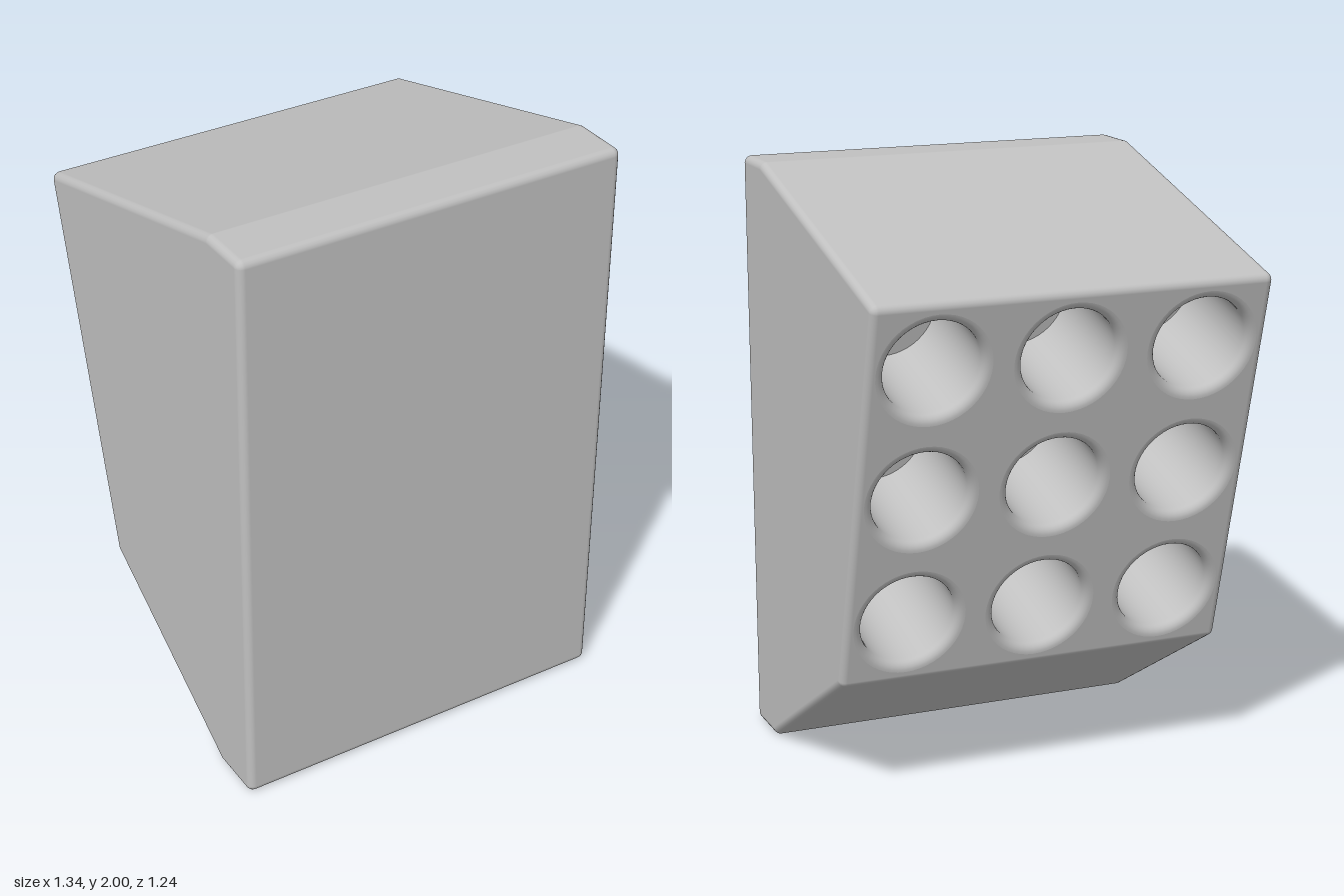
import * as THREE from 'three';

const HALF_WIDTH = 0.67, BEVEL = 0.025, STEPS = 5;
const HOLE_R = 0.19, HOLE_LIP = 0.03, HOLE_DEPTH = 0.42, HOLE_PITCH = 0.45;

// Side profile as (z, y); the edge from corner 2 to corner 3 carries the sockets
const PROFILE = [[0.62, 0], [0.43, 0], [-0.28, 0.42], [-0.626, 1.715], [0.43, 2], [0.62, 2]]
  .map(([z, y]) => new THREE.Vector2(z, y));
const SOCKET_EDGE = 2;

const edgeNormals = PROFILE.map((p, i) => {
  const d = PROFILE[(i + 1) % PROFILE.length].clone().sub(p).normalize();
  return new THREE.Vector2(-d.y, d.x);
});

// Arc centre of each rounded corner
const centres = PROFILE.map((p, i) => {
  const a = edgeNormals[(i + PROFILE.length - 1) % PROFILE.length], b = edgeNormals[i];
  return p.clone().addScaledVector(a.clone().add(b), -BEVEL / (1 + a.dot(b)));
});

// Rounded prism, left open where the socket panel sits
function bodyGeometry() {
  const ring = [];
  centres.forEach((c, i) => {
    const a = edgeNormals[(i + PROFILE.length - 1) % PROFILE.length], b = edgeNormals[i];
    for (let s = 0; s <= STEPS; s++) ring.push({ c, n: a.clone().lerp(b, s / STEPS).normalize() });
  });
  const columns = [];
  for (const side of [-1, 1]) {
    for (let s = 0; s <= STEPS; s++) {
      const angle = (s / STEPS) * Math.PI / 2 - (side < 0 ? Math.PI / 2 : 0);
      columns.push({ x: side * (HALF_WIDTH - BEVEL), angle });
    }
  }

  const pos = [], nor = [], idx = [];
  const count = ring.length;
  for (const { x, angle } of columns) {
    const cos = Math.cos(angle), sin = Math.sin(angle);
    for (const { c, n } of ring) {
      pos.push(x + BEVEL * sin, c.y + BEVEL * cos * n.y, c.x + BEVEL * cos * n.x);
      nor.push(sin, cos * n.y, cos * n.x);
    }
  }
  const openJ = SOCKET_EDGE * (STEPS + 1) + STEPS;
  for (let k = 0; k < columns.length - 1; k++) {
    for (let j = 0; j < count; j++) {
      if (k === STEPS && j === openJ) continue;
      const a = k * count + j, b = k * count + (j + 1) % count;
      idx.push(a, b, b + count, a, b + count, a + count);
    }
  }
  // Flat side caps
  const last = (columns.length - 1) * count;
  for (let j = 1; j < count - 1; j++) {
    idx.push(last, last + j, last + j + 1, 0, j + 1, j);
  }
  const g = new THREE.BufferGeometry();
  g.setAttribute('position', new THREE.Float32BufferAttribute(pos, 3));
  g.setAttribute('normal', new THREE.Float32BufferAttribute(nor, 3));
  g.setIndex(idx);
  return g;
}

export function createModel() {
  const model = new THREE.Group();
  model.name = 'socketBlock';
  const grey = new THREE.MeshStandardMaterial({ color: 0xc0c0c0 });
  grey.name = 'lightGrey';

  const add = (parent, name, geometry) => {
    const mesh = new THREE.Mesh(geometry, grey);
    mesh.name = name;
    parent.add(mesh);
    return mesh;
  };

  add(model, 'body', bodyGeometry());

  // Tilted back panel, local +z pointing out of the block
  const c0 = centres[SOCKET_EDGE], c1 = centres[SOCKET_EDGE + 1], n = edgeNormals[SOCKET_EDGE];
  const mid = c0.clone().add(c1).multiplyScalar(0.5).addScaledVector(n, BEVEL);
  const panel = new THREE.Group();
  panel.name = 'socketPanel';
  panel.position.set(0, mid.y, mid.x);
  panel.rotation.x = Math.atan2(-n.y, n.x);
  model.add(panel);

  const w = HALF_WIDTH - BEVEL, h = c0.distanceTo(c1) / 2;
  const face = new THREE.Shape([[-w, -h], [w, -h], [w, h], [-w, h]].map(([x, y]) => new THREE.Vector2(x, y)));

  // Socket wall: rounded lip running into a straight bore
  const bore = HOLE_R - HOLE_LIP;
  const wall = [];
  for (let s = 0; s <= 6; s++) {
    const a = (s / 6) * Math.PI / 2;
    wall.push(new THREE.Vector2(HOLE_R - HOLE_LIP * Math.sin(a), -HOLE_LIP * (1 - Math.cos(a))));
  }
  wall.push(new THREE.Vector2(bore, -HOLE_LIP - 0.01), new THREE.Vector2(bore, -HOLE_DEPTH));
  const wallGeometry = new THREE.LatheGeometry(wall, 48).rotateX(Math.PI / 2);
  const floorGeometry = new THREE.CircleGeometry(bore, 48);

  for (let row = -1; row <= 1; row++) {
    for (let col = -1; col <= 1; col++) {
      const x = col * HOLE_PITCH, y = row * HOLE_PITCH;
      face.holes.push(new THREE.Path().absarc(x, y, HOLE_R, 0, Math.PI * 2, true));
      add(panel, 'socketWall', wallGeometry).position.set(x, y, 0);
      add(panel, 'socketFloor', floorGeometry).position.set(x, y, -HOLE_DEPTH);
    }
  }
  add(panel, 'panelFace', new THREE.ShapeGeometry(face, 24));

  return model;
}
